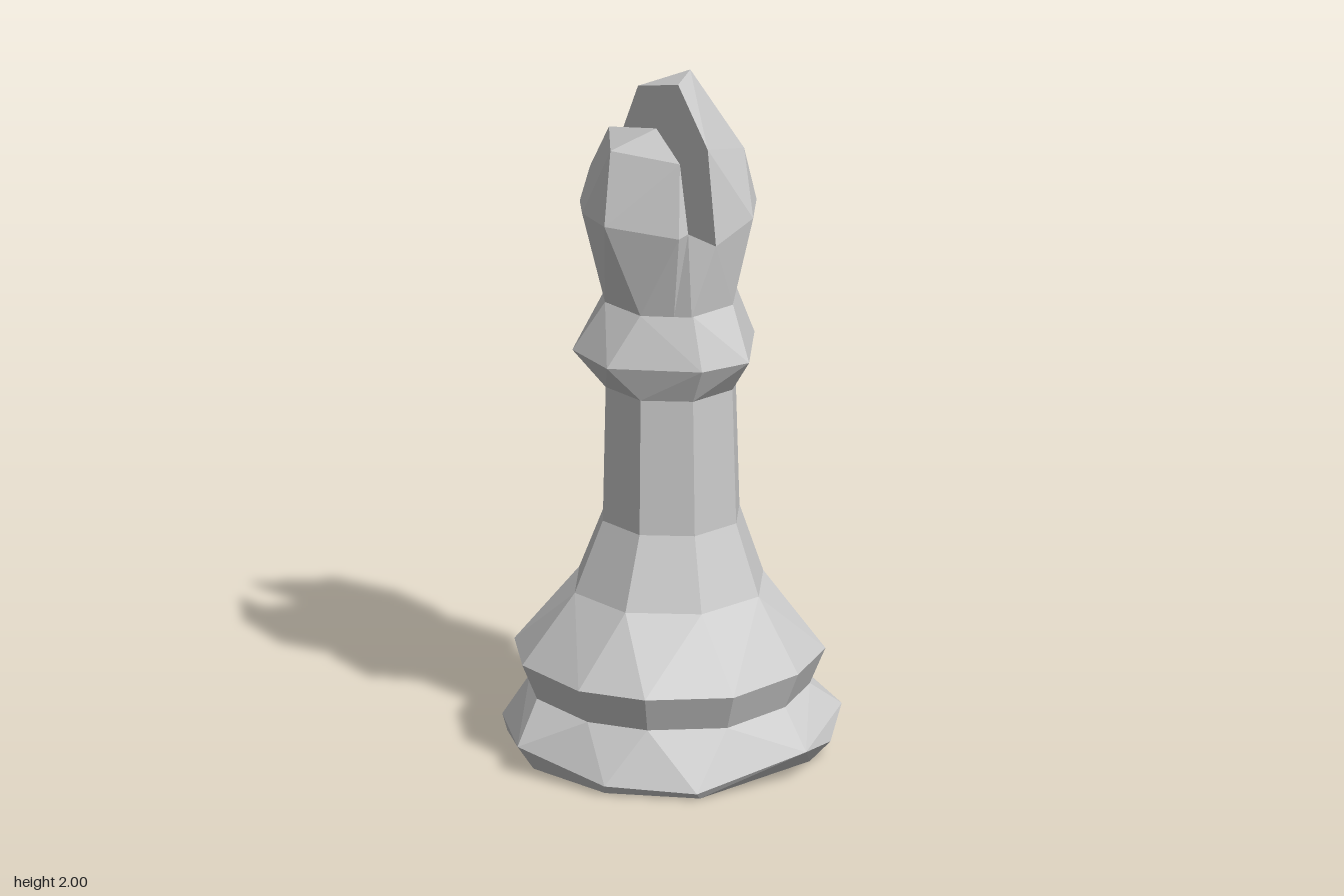
import * as THREE from 'three';
import { ConvexGeometry } from 'three/addons/geometries/ConvexGeometry.js';

const material = new THREE.MeshStandardMaterial({ color: 0xcccccc, flatShading: true });

// Horizontal ring from an [x, z] outline
const ring = (y, outline, s = 1) => outline.map(([x, z]) => [x * s, y, z * s]);

// Horizontal octagon with a flat side to the front
const octagon = (y, r, cx = 0, cz = 0) =>
  Array.from({ length: 8 }, (_, i) => {
    const a = ((i + 0.5) * Math.PI) / 4;
    return [cx + r * Math.cos(a), y, cz + r * Math.sin(a)];
  });

// Faceted block spanning a set of points
function block(name, ...rings) {
  const points = rings.flat().map((p) => new THREE.Vector3(...p));
  const mesh = new THREE.Mesh(new ConvexGeometry(points), material);
  mesh.name = name;
  return mesh;
}

export function createModel() {
  const group = new THREE.Group();
  group.name = 'chessPiece';

  // Uneven, hand-cut outlines
  const collar = [[-0.08, -0.43], [0.2, -0.4], [0.4, -0.19], [0.44, 0.05], [0.33, 0.29], [0.13, 0.4],
    [-0.13, 0.42], [-0.33, 0.27], [-0.42, 0.09], [-0.4, -0.17], [-0.27, -0.35]];
  const bead = [[-0.23, -0.15], [-0.08, -0.25], [0.085, -0.245], [0.23, -0.13], [0.25, 0.08],
    [0.07, 0.26], [-0.08, 0.23], [-0.26, 0.03]];

  // Base disc: rough rim, flat underside
  const rim = [[-0.03, 0.11, -0.49], [0.26, 0.08, -0.41], [0.36, 0.08, -0.32], [0.43, 0.08, -0.22],
    [0.48, 0.12, 0], [0.4, 0.1, 0.28], [0.26, 0.05, 0.39], [0.08, 0.09, 0.49], [-0.25, 0.02, 0.4],
    [-0.42, 0.03, 0.2], [-0.48, 0.08, -0.1], [-0.28, 0.05, -0.39]];
  const underside = [[-0.23, 0.39], [0.2, 0.37], [0.45, 0.08], [0.43, -0.2], [0.24, -0.4], [-0.08, -0.45],
    [-0.27, -0.38], [-0.42, -0.1], [-0.4, 0.18]];
  group.add(block('base', ring(0, underside), rim, ring(0.18, collar, 0.9)));
  group.add(block('baseCollar', ring(0.18, collar, 0.9), ring(0.285, collar)));

  // Flared foot and shaft
  const flare = octagon(0.485, 0.28);
  const shaftFoot = octagon(0.69, 0.203, 0.008);
  const shaftTop = octagon(1.09, 0.193, 0.006);
  group.add(block('lowerFlare', ring(0.285, collar), flare));
  group.add(block('upperFlare', flare, shaftFoot));
  group.add(block('shaft', shaftFoot, shaftTop));

  // Bead under the head
  group.add(block('neckBead', shaftTop, ring(1.195, bead), octagon(1.345, 0.195, 0.006)));

  // Head: two sides of a slotted bud, joined by a web below the slot
  const y0 = 1.345;
  const mirrorZ = (list) => list.flatMap(([x, y, z]) => [[x, y, z], [x, y, -z]]);
  const slotLeft = [[-0.01, 1.55, 0.21], [-0.01, 1.55, -0.235]];
  const slotRight = [[-0.11, 1.61, 0.205], [-0.11, 1.61, -0.22]];

  const head = new THREE.Group();
  head.name = 'head';
  head.add(block('headLeft', slotLeft,
    mirrorZ([[-0.01, y0, 0.18], [0.08, y0, 0.18], [0.186, y0, 0.075]]),
    [[0.25, 1.6, -0.08], [0.24, 1.6, 0.1], [0.13, 1.6, 0.21], [0.2, 1.58, -0.17], [0.08, 1.69, -0.23],
      [0.08, 1.54, -0.235], [0.22, 1.75, 0.07], [0.2, 1.77, -0.12], [-0.01, 1.83, 0.175],
      [-0.01, 1.69, -0.23], [-0.01, 1.94, -0.12], [-0.01, 1.99, 0.05], [0.08, 2, 0]]));
  head.add(block('headRight', slotRight,
    mirrorZ([[-0.11, y0, 0.145], [-0.174, y0, 0.075]]),
    [[-0.265, 1.62, 0.025], [-0.22, 1.61, -0.12], [-0.14, 1.6, -0.22], [-0.14, 1.6, 0.2],
      [-0.11, 1.81, 0.17], [-0.11, 1.7, -0.21], [-0.11, 1.84, -0.13], [-0.22, 1.83, 0], [-0.11, 1.89, 0.07]]));
  head.add(block('slotWeb', slotLeft, slotRight,
    mirrorZ([[-0.11, y0, 0.145], [-0.075, y0, 0.18], [-0.01, y0, 0.18]])));
  group.add(head);

  return group;
}
